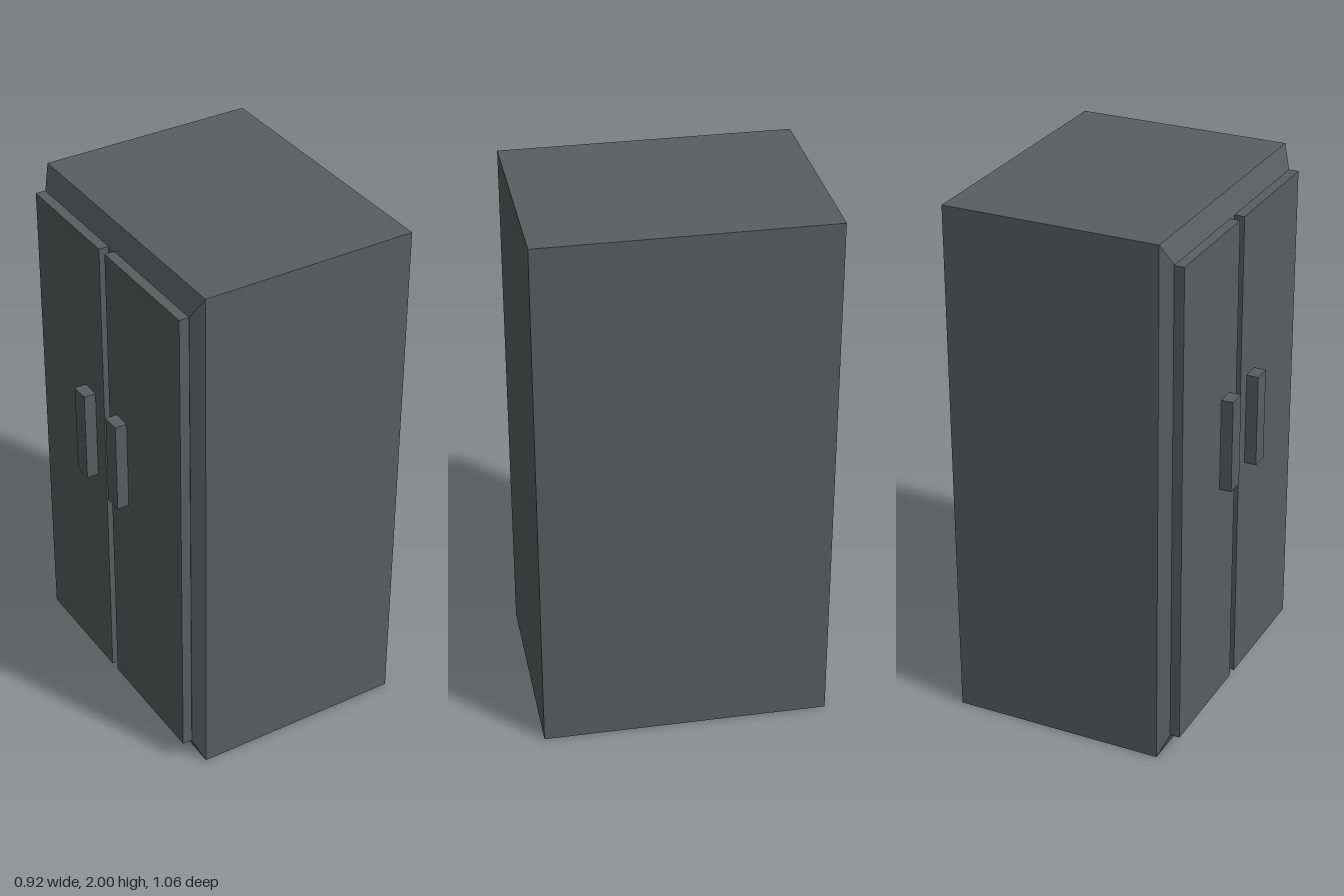
import * as THREE from 'three';

const graphite = new THREE.MeshStandardMaterial({ color: 0x5a5e5f });
graphite.name = 'graphite';

// Box given by its limits along each axis
function block(name, [x0, x1], [y0, y1], [z0, z1]) {
  const mesh = new THREE.Mesh(new THREE.BoxGeometry(x1 - x0, y1 - y0, z1 - z0), graphite);
  mesh.position.set((x0 + x1) / 2, (y0 + y1) / 2, (z0 + z1) / 2);
  mesh.name = name;
  return mesh;
}

// Cabinet: a box whose door side (-x) tapers to a smaller face
function cabinet() {
  const backX = 0.461, bevelX = -0.346, faceX = -0.381;
  const box = new THREE.BoxGeometry(2, 2, 1.062, 2, 1, 1);
  const p = box.attributes.position;
  for (let i = 0; i < p.count; i++) {
    const x = p.getX(i);
    if (x > 0.5) p.setX(i, backX);
    else if (x > -0.5) p.setX(i, bevelX);
    else p.setXYZ(i, faceX, p.getY(i) * 0.92, p.getZ(i) * 0.92);
  }
  const geometry = box.toNonIndexed();
  geometry.computeVertexNormals();
  const mesh = new THREE.Mesh(geometry, graphite);
  mesh.position.y = 1;
  mesh.name = 'cabinet';
  return mesh;
}

export function createModel() {
  const model = new THREE.Group();
  model.name = 'refrigerator';
  model.add(cabinet());

  // Two doors with a narrow gap between, each with an upright handle
  const sides = [
    { side: 'right', door: [-0.49, -0.038], handle: [-0.17, -0.1] },
    { side: 'left', door: [0, 0.487], handle: [0.053, 0.122] },
  ];
  for (const { side, door, handle } of sides) {
    model.add(block(`${side}Door`, [-0.418, -0.381], [0.082, 1.92], door));
    model.add(block(`${side}Handle`, [-0.463, -0.418], [0.945, 1.298], handle));
  }
  return model;
}
